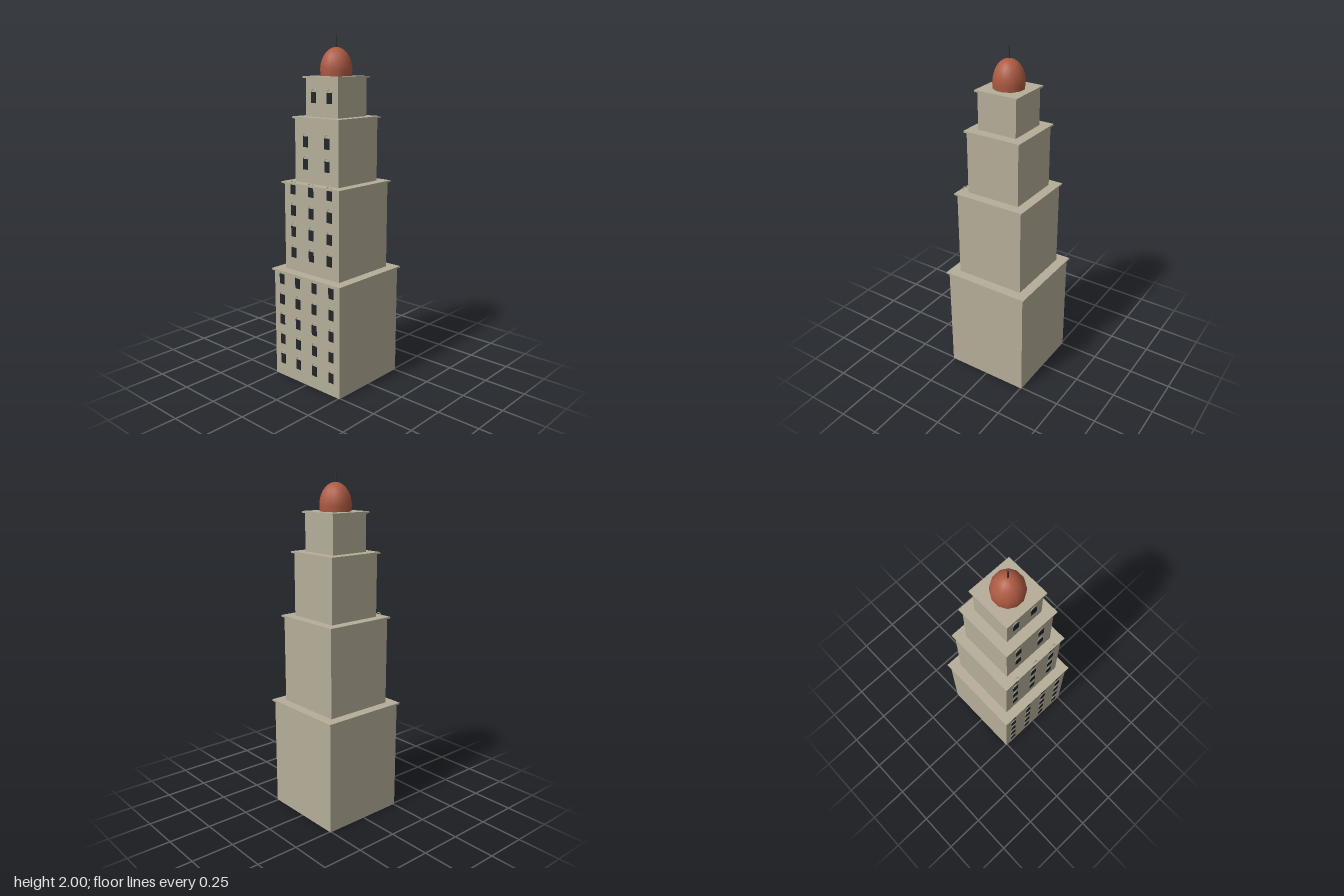
import * as THREE from 'three';

const stone = new THREE.MeshStandardMaterial({ color: 0xb5ad98 });
stone.name = 'stone';
const glass = new THREE.MeshStandardMaterial({ color: 0x22252a });
glass.name = 'darkGlass';
const terracotta = new THREE.MeshStandardMaterial({ color: 0xad5a42 });
terracotta.name = 'terracotta';
const iron = new THREE.MeshStandardMaterial({ color: 0x3a3431 });
iron.name = 'iron';

// half: wall half-width, columns and rows: window centres
const TIERS = [
  { y0: 0, y1: 0.665, half: 0.257, columns: [-0.195, -0.065, 0.065, 0.195], rows: [0.108, 0.234, 0.359, 0.485, 0.611] },
  { y0: 0.665, y1: 1.185, half: 0.21, columns: [-0.14, 0, 0.14], rows: [0.773, 0.898, 1.023, 1.148] },
  { y0: 1.185, y1: 1.555, half: 0.165, columns: [-0.082, 0.082], rows: [1.291, 1.418] },
  { y0: 1.555, y1: 1.778, half: 0.12, columns: [-0.06, 0.06], rows: [1.661] },
];
const CORNICE = 0.01;

function add(parent, name, geometry, material, x, y, z) {
  const mesh = new THREE.Mesh(geometry, material);
  mesh.name = name;
  mesh.position.set(x, y, z);
  parent.add(mesh);
  return mesh;
}

export function createModel() {
  const tower = new THREE.Group();
  tower.name = 'tower';
  const paneGeometry = new THREE.BoxGeometry(0.037, 0.06, 0.006);
  const archGeometry = new THREE.TorusGeometry(0.019, 0.003, 6, 10, Math.PI);

  // Stepped blocks, each with a thin cornice and windows on the front
  TIERS.forEach(({ y0, y1, half, columns, rows }, i) => {
    const tier = new THREE.Group();
    tier.name = `tier${i + 1}`;
    tower.add(tier);
    const h = y1 - CORNICE - y0;
    add(tier, 'walls', new THREE.BoxGeometry(half * 2, h, half * 2), stone, 0, y0 + h / 2, 0);
    const w = (half + 0.0125) * 2;
    add(tier, 'cornice', new THREE.BoxGeometry(w, CORNICE, w), stone, 0, y1 - CORNICE / 2, 0);
    for (const y of rows) {
      for (const x of columns) {
        add(tier, 'window', paneGeometry, glass, x, y, half);
        add(tier, 'windowArch', archGeometry, stone, x, y + 0.03, half);
      }
    }
  });

  // Bullet-shaped dome, twelve-sided with a flat towards each axis
  const profile = [new THREE.Vector2(0.0875, 1.778)];
  for (let i = 0; i <= 10; i++) {
    const a = (i / 10) * Math.PI / 2;
    profile.push(new THREE.Vector2(Math.max(0.09 * Math.cos(a), 0), 1.81 + 0.125 * Math.sin(a)));
  }
  const dome = add(tower, 'dome', new THREE.LatheGeometry(profile, 12), terracotta, 0, 0, 0);
  dome.rotation.y = Math.PI / 12;

  // Spire
  add(tower, 'spire', new THREE.CylinderGeometry(0.004, 0.004, 0.08, 8), iron, 0, 1.96, 0);
  return tower;
}
